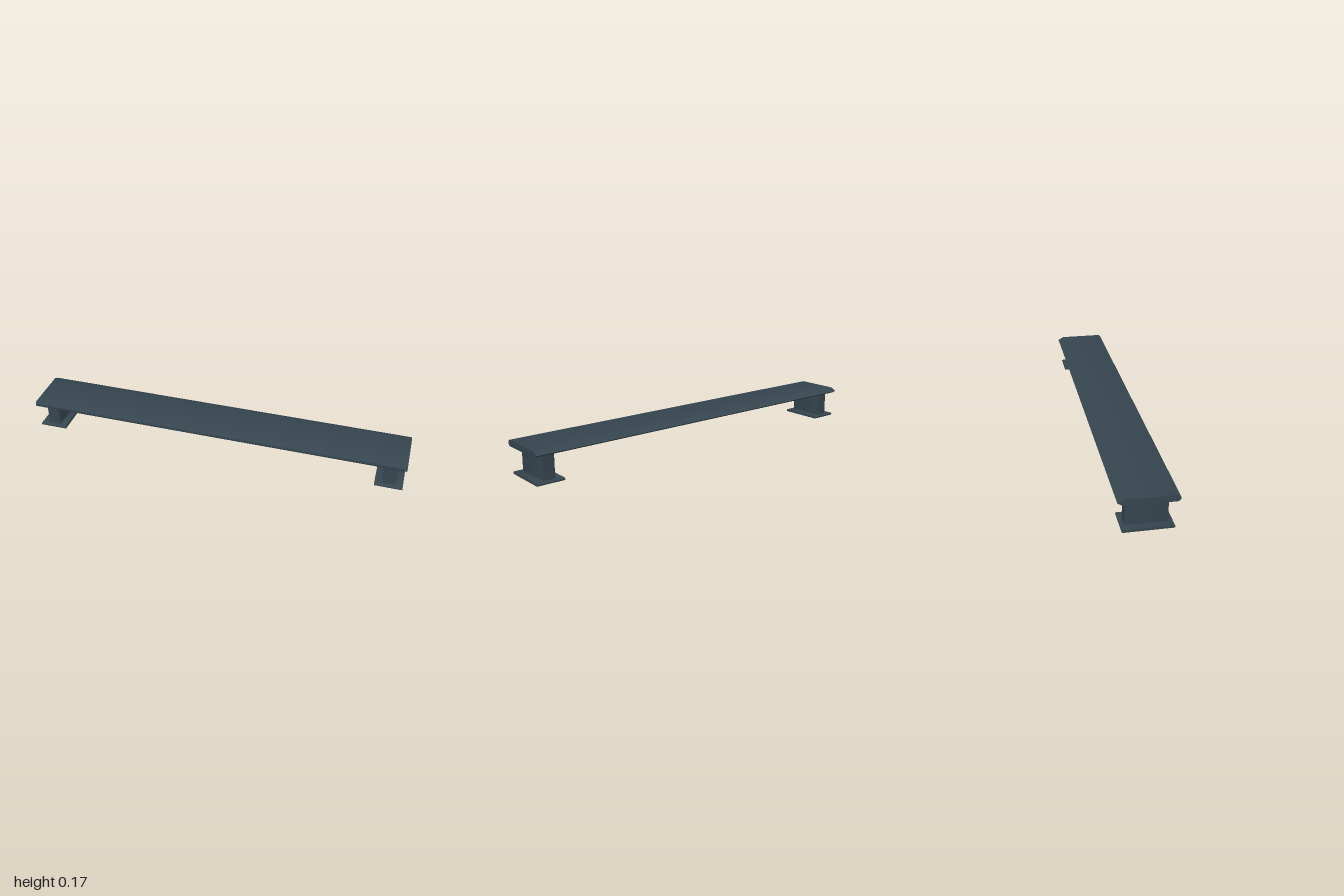
import * as THREE from 'three';
import { toCreasedNormals } from 'three/addons/utils/BufferGeometryUtils.js';

const charcoal = new THREE.MeshStandardMaterial({ color: 0x36454f });
charcoal.name = 'charcoal';

function extrude(shape, depth) {
  const geo = new THREE.ExtrudeGeometry(shape, { depth, bevelEnabled: false, curveSegments: 10 });
  geo.translate(0, 0, -depth / 2);
  return geo;
}

function part(name, geo) {
  const mesh = new THREE.Mesh(toCreasedNormals(geo, 0.6), charcoal);
  mesh.name = name;
  return mesh;
}

// Side profiles are drawn with shape x = -z, then swept along x.
const alongX = (shape, length) => extrude(shape, length).rotateY(Math.PI / 2);

// Rounded rectangle centred on the origin
function roundedRect(w, h, r) {
  const s = new THREE.Shape(), x = w / 2 - r, y = h / 2 - r;
  s.absarc(x, y, r, 0, Math.PI / 2);
  s.absarc(-x, y, r, Math.PI / 2, Math.PI);
  s.absarc(-x, -y, r, Math.PI, Math.PI * 1.5);
  s.absarc(x, -y, r, Math.PI * 1.5, Math.PI * 2);
  s.closePath();
  return s;
}

// Top bar: round front edge, pointed back edge
function barProfile() {
  const r = 0.016, s = new THREE.Shape();
  s.moveTo(-0.137 + r, -r);
  s.lineTo(0.1, -r);
  s.bezierCurveTo(0.114, -r, 0.124, -0.004, 0.137, 0);
  s.bezierCurveTo(0.124, 0.004, 0.114, r, 0.1, r);
  s.lineTo(-0.137 + r, r);
  s.absarc(-0.137 + r, 0, r, Math.PI / 2, Math.PI * 1.5);
  return s;
}

export function createModel() {
  const group = new THREE.Group();
  group.name = 'barHandle';

  const bar = part('topBar', alongX(barProfile(), 2));
  bar.position.y = 0.151;
  group.add(bar);

  // Mirrored supports: post on a flat foot
  for (const side of [-1, 1]) {
    const support = new THREE.Group();
    support.name = side > 0 ? 'leftSupport' : 'rightSupport';
    support.position.x = side * 0.923;

    const foot = part('foot', alongX(roundedRect(0.235, 0.013, 0.006), 0.143));
    foot.position.y = 0.0065;

    const post = part('post', extrude(roundedRect(0.066, 0.193, 0.004), 0.126).rotateX(-Math.PI / 2));
    post.position.y = 0.074;

    support.add(foot, post);
    group.add(support);
  }
  return group;
}
